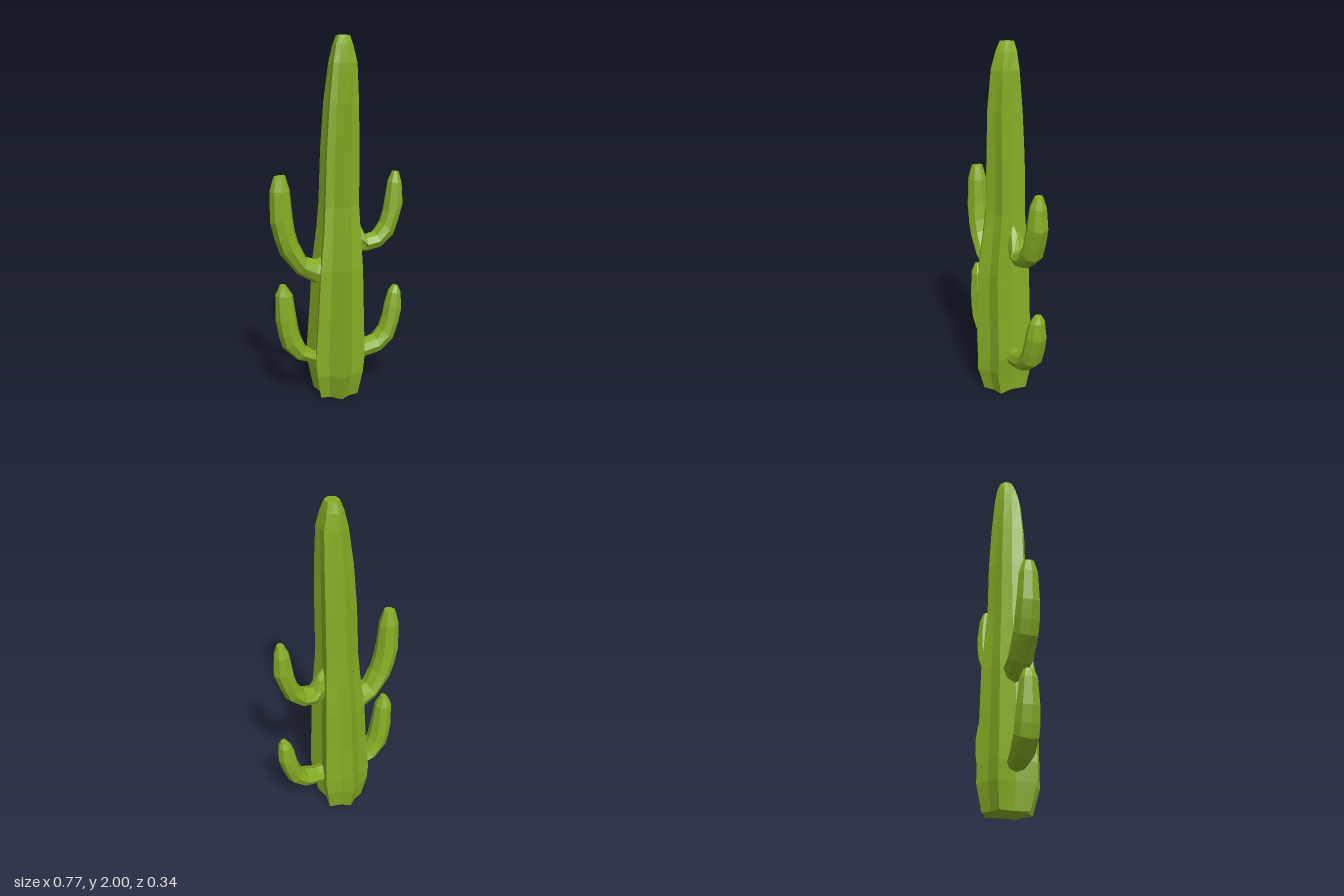
import * as THREE from 'three';

// Skin a list of equal-length rings (counter-clockwise around the loft direction) and close both ends
function loft(rings) {
  const tris = [];
  const n = rings[0].length;
  const centre = (r) => r.reduce((s, p) => s.add(p), new THREE.Vector3()).divideScalar(n);
  const start = centre(rings[0]);
  const end = centre(rings[rings.length - 1]);
  for (let i = 0; i < n; i++) {
    const j = (i + 1) % n;
    for (let k = 0; k < rings.length - 1; k++) {
      const a = rings[k], b = rings[k + 1];
      tris.push(a[i], a[j], b[j], a[i], b[j], b[i]);
    }
    const last = rings[rings.length - 1];
    tris.push(start, rings[0][j], rings[0][i], end, last[i], last[j]);
  }
  const geometry = new THREE.BufferGeometry().setFromPoints(tris);
  geometry.computeVertexNormals();
  return geometry;
}

// Ribbed trunk outline, fitted to a unit box
const RIBS = [
  [0.95, 0.64], [0.8, 0.05], [1, -0.6], [0.38, -0.73], [-0.03, -1], [-0.45, -0.75],
  [-1, -0.6], [-0.82, 0], [-1, 0.6], [-0.5, 0.62], [-0.03, 1], [0.4, 0.72],
];

// Trunk levels: y, left x, right x, back z, front z, roundness
const TRUNK = [
  [0, -0.13, 0.095, -0.14, 0.13, 0.1],
  [0.14, -0.155, 0.115, -0.17, 0.17, 0],
  [0.24, -0.163, 0.127, -0.17, 0.17, 0],
  [0.5, -0.146, 0.118, -0.157, 0.17, 0],
  [0.75, -0.132, 0.112, -0.15, 0.165, 0],
  [0.95, -0.11, 0.105, -0.13, 0.138, 0.1],
  [1.1, -0.1, 0.1, -0.115, 0.118, 0.2],
  [1.4, -0.09, 0.1, -0.108, 0.115, 0.2],
  [1.65, -0.075, 0.096, -0.092, 0.112, 0.25],
  [1.86, -0.052, 0.09, -0.07, 0.095, 0.4],
  [1.95, -0.032, 0.072, -0.055, 0.07, 0.6],
  [2, -0.015, 0.058, -0.035, 0.045, 0.8],
];

function trunkRing([y, x0, x1, z0, z1, round]) {
  return RIBS.map(([u, v]) => {
    const k = THREE.MathUtils.lerp(1, 1 / Math.hypot(u, v), round);
    return new THREE.Vector3(
      (x0 + x1) / 2 + (u * k * (x1 - x0)) / 2, y,
      (z0 + z1) / 2 + (v * k * (z1 - z0)) / 2);
  });
}

// Arm stations: outer x, outer y, inner x, inner y, half depth (x measured away from the trunk)
const ARMS = {
  upperLeftArm: { side: 1, z: -0.005, stations: [
    [0.06, 0.81, 0.06, 1.06, 0.035], [0.12, 0.815, 0.12, 0.985, 0.045],
    [0.165, 0.82, 0.15, 0.915, 0.06], [0.235, 0.835, 0.21, 0.93, 0.066],
    [0.315, 0.9, 0.245, 0.985, 0.066], [0.345, 0.98, 0.265, 1.05, 0.066],
    [0.377, 1.08, 0.275, 1.13, 0.06], [0.37, 1.2, 0.288, 1.21, 0.048],
    [0.352, 1.262, 0.315, 1.268, 0.024]] },
  lowerLeftArm: { side: 1, z: -0.005, stations: [
    [0.06, 0.175, 0.06, 0.29, 0.055], [0.14, 0.185, 0.14, 0.29, 0.058],
    [0.24, 0.21, 0.215, 0.315, 0.066], [0.325, 0.28, 0.245, 0.355, 0.066],
    [0.357, 0.37, 0.268, 0.42, 0.066], [0.381, 0.46, 0.28, 0.495, 0.06],
    [0.376, 0.56, 0.302, 0.565, 0.045], [0.36, 0.596, 0.328, 0.602, 0.022]] },
  upperRightArm: { side: -1, z: 0, stations: [
    [0.06, 0.67, 0.06, 0.83, 0.06], [0.14, 0.66, 0.13, 0.795, 0.066],
    [0.24, 0.72, 0.19, 0.815, 0.07], [0.335, 0.84, 0.232, 0.9, 0.07],
    [0.362, 0.92, 0.25, 0.965, 0.07], [0.387, 1.02, 0.262, 1.05, 0.066],
    [0.386, 1.19, 0.275, 1.19, 0.055], [0.365, 1.265, 0.3, 1.275, 0.032]] },
  lowerRightArm: { side: -1, z: 0, stations: [
    [0.06, 0.17, 0.06, 0.25, 0.05], [0.15, 0.19, 0.15, 0.26, 0.055],
    [0.25, 0.22, 0.2, 0.3, 0.066], [0.33, 0.3, 0.227, 0.365, 0.068],
    [0.35, 0.37, 0.24, 0.42, 0.068], [0.366, 0.46, 0.25, 0.49, 0.064],
    [0.366, 0.61, 0.267, 0.605, 0.05], [0.34, 0.66, 0.305, 0.664, 0.028]] },
};

function armRing([ox, oy, ix, iy, depth], side, z) {
  const sides = 8;
  return Array.from({ length: sides }, (_, i) => {
    const a = (i / sides) * Math.PI * 2;
    const t = (1 - Math.cos(a)) / 2;
    return new THREE.Vector3(
      side * THREE.MathUtils.lerp(ox, ix, t),
      THREE.MathUtils.lerp(oy, iy, t),
      z - side * depth * Math.sin(a));
  });
}

export function createModel() {
  const green = new THREE.MeshStandardMaterial({ color: 0x85ad24, flatShading: true });
  green.name = 'cactus green';
  const cactus = new THREE.Group();
  cactus.name = 'cactus';

  const add = (name, rings) => {
    const mesh = new THREE.Mesh(loft(rings), green);
    mesh.name = name;
    cactus.add(mesh);
  };

  add('trunk', TRUNK.map(trunkRing));
  for (const [name, { side, z, stations }] of Object.entries(ARMS)) {
    add(name, stations.map((s) => armRing(s, side, z)));
  }
  return cactus;
}
